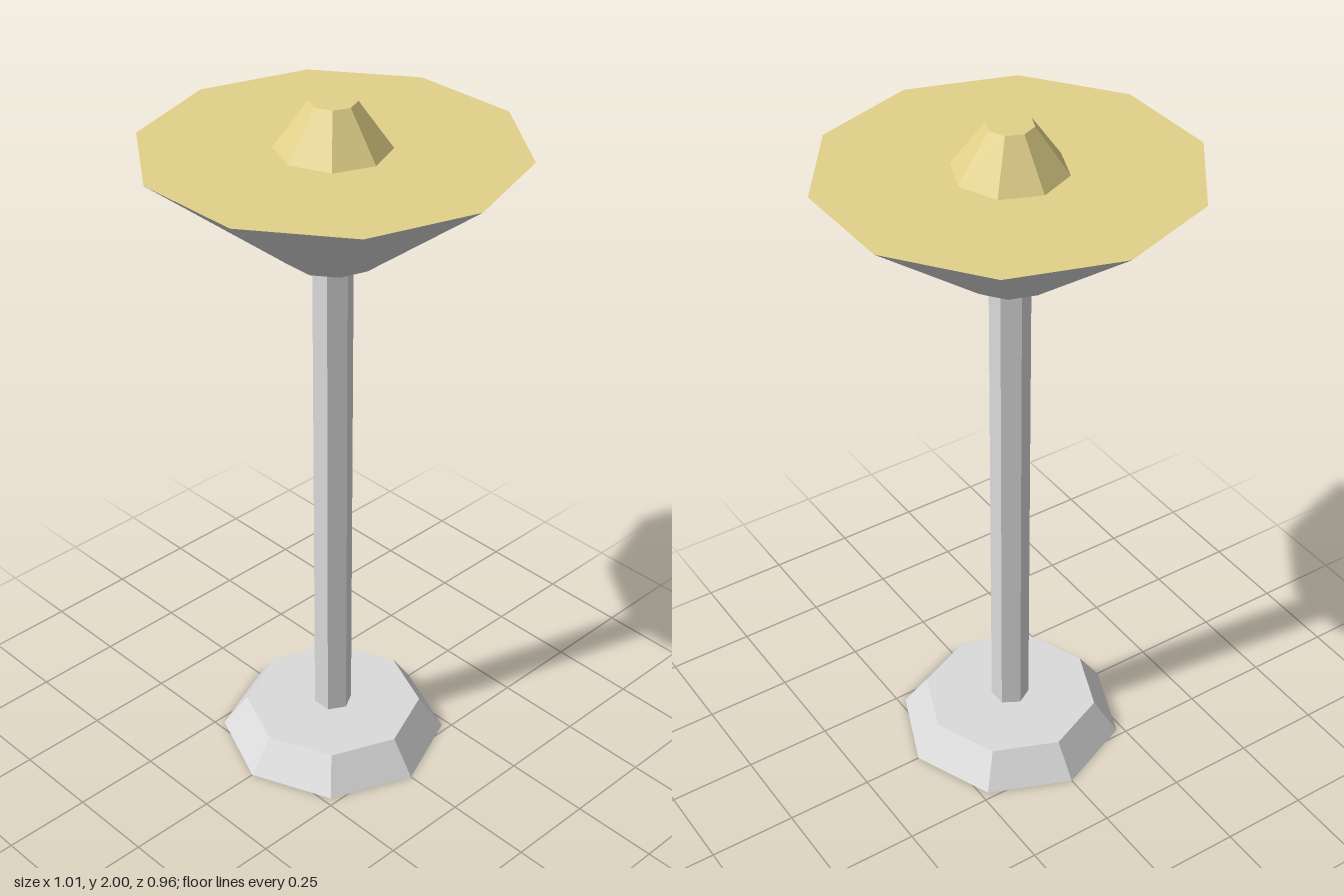
import * as THREE from 'three';

export function createModel() {
  const group = new THREE.Group();

  const grey = new THREE.MeshStandardMaterial({ color: 0xdbdbdb, flatShading: true, side: THREE.DoubleSide });
  grey.name = 'light grey metal';
  const yellow = new THREE.MeshStandardMaterial({ color: 0xe1d189, flatShading: true, side: THREE.DoubleSide });
  yellow.name = 'warm yellow light';

  // Faceted, tapered column standing between two heights
  function frustum(name, rTop, rBottom, y0, y1, sides, material, turn = 0, open = false) {
    const geometry = new THREE.CylinderGeometry(rTop, rBottom, y1 - y0, sides, 1, open);
    geometry.rotateY(turn);
    geometry.translate(0, (y0 + y1) / 2, 0);
    const mesh = new THREE.Mesh(geometry, material);
    mesh.name = name;
    group.add(mesh);
  }

  // Foot and hexagonal pole
  frustum('base', 0.255, 0.325, 0, 0.1, 8, grey);
  frustum('pole', 0.055, 0.055, 0.1, 1.87, 6, grey, Math.PI / 2);

  // Flared shade, open underneath
  frustum('shade', 0.505, 0.126, 1.575, 1.875, 10, grey, Math.PI / 2, true);

  // Glowing panel closing the top of the shade
  const panel = new THREE.Mesh(new THREE.CircleGeometry(0.505, 10).rotateX(-Math.PI / 2), yellow);
  panel.name = 'lightPanel';
  panel.position.y = 1.875;
  group.add(panel);

  // Bulb cap
  frustum('bulb', 0.0625, 0.152, 1.875, 2, 8, yellow);

  return group;
}
